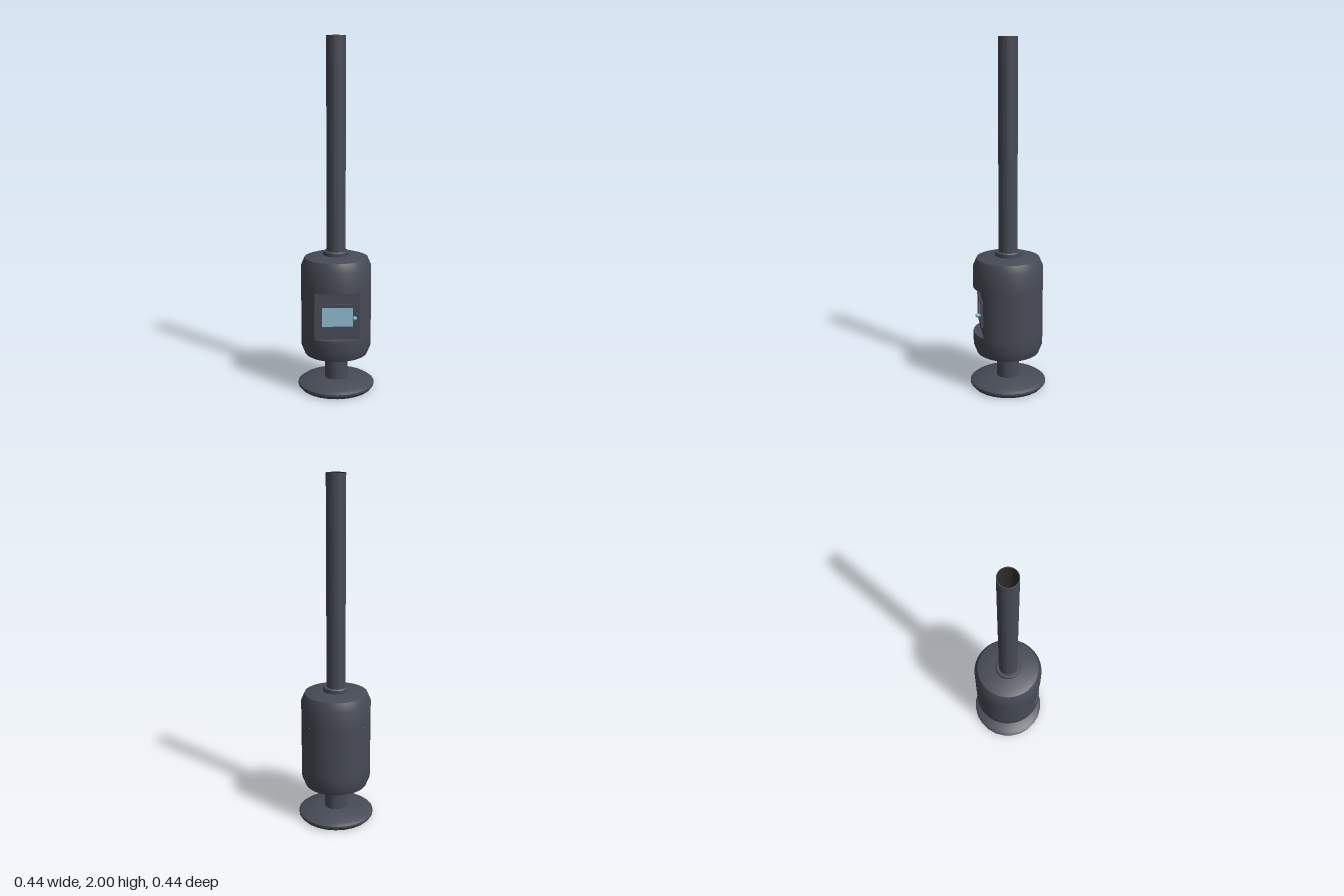
import * as THREE from 'three';
import { toCreasedNormals } from 'three/addons/utils/BufferGeometryUtils.js';

const paint = (name, color) => Object.assign(new THREE.MeshStandardMaterial({ color }), { name });

export function createModel() {
  const iron = paint('castIron', 0x474b56);
  const soot = paint('soot', 0x2e2d2c);
  const glass = paint('glass', 0x91bdd4);
  const model = new THREE.Group();

  const add = (name, geometry, material, x = 0, y = 0, z = 0, parent = model) => {
    const mesh = new THREE.Mesh(geometry, material);
    mesh.name = name;
    mesh.position.set(x, y, z);
    parent.add(mesh);
    return mesh;
  };
  const lathe = (points, sides = 64) => toCreasedNormals(
    new THREE.LatheGeometry(points.map(([r, y]) => new THREE.Vector2(r, y)), sides), 0.6);

  // Foot plate and pedestal
  add('footPlate', lathe([[0, 0], [0.205, 0], [0.22, 0.018], [0.22, 0.03], [0.2, 0.044], [0.07, 0.06], [0, 0.06]], 24), iron);
  add('pedestal', new THREE.CylinderGeometry(0.066, 0.066, 0.15, 32, 1, true), iron, 0, 0.13);

  // Firebox: closed lower and upper drums, with a flat-fronted band between them
  const R = 0.2, low = 0.335, high = 0.603, flatZ = 0.155;
  add('lowerDrum', lathe([[0, 0.198], [0.14, 0.198], [0.18, 0.21], [R, 0.26], [R, low], [0, low]]), iron);
  add('upperDrum', lathe([[0, high], [R, high], [R, 0.725], [0.18, 0.772], [0.14, 0.785], [0, 0.785]]), iron);
  const half = Math.acos(flatZ / R), midY = (low + high) / 2, bandH = high - low;
  add('firebox', new THREE.CylinderGeometry(R, R, bandH, 56, 1, true, half, 2 * Math.PI - 2 * half), iron, 0, midY);
  add('fireboxFront', new THREE.PlaneGeometry(2 * R * Math.sin(half), bandH), iron, 0, midY, flatZ);

  // Door: frame, pane and knob
  const door = new THREE.Group();
  door.name = 'door';
  door.position.set(0, 0.465, flatZ);
  model.add(door);
  const rect = (Type, w, h) => new Type([[-w, -h], [w, -h], [w, h], [-w, h]].map(([x, y]) => new THREE.Vector2(x, y)));
  const frame = rect(THREE.Shape, 0.105, 0.073);
  frame.holes.push(rect(THREE.Path, 0.086, 0.055));
  add('doorFrame', new THREE.ExtrudeGeometry(frame, { depth: 0.013, bevelEnabled: false }), iron, 0, 0, 0, door);
  add('doorPane', new THREE.BoxGeometry(0.172, 0.11, 0.006), glass, 0, 0, 0.003, door);
  const stem = new THREE.CylinderGeometry(0.005, 0.005, 0.025, 12).rotateX(Math.PI / 2);
  add('knobStem', stem, glass, 0.095, 0, 0.02, door);
  add('knob', new THREE.SphereGeometry(0.012, 16, 12), glass, 0.095, 0, 0.032, door);

  // Flue collar and open chimney pipe
  add('flueCollar', lathe([[0.073, 0.78], [0.073, 0.805], [0.068, 0.81], [0.05, 0.81]], 48), iron);
  add('chimneyPipe', lathe([[0.054, 0.8], [0.054, 2], [0.05, 2]], 48), iron);
  add('chimneyLining', lathe([[0.05, 2], [0.05, 0.82], [0, 0.82]], 48), soot);

  return model;
}
